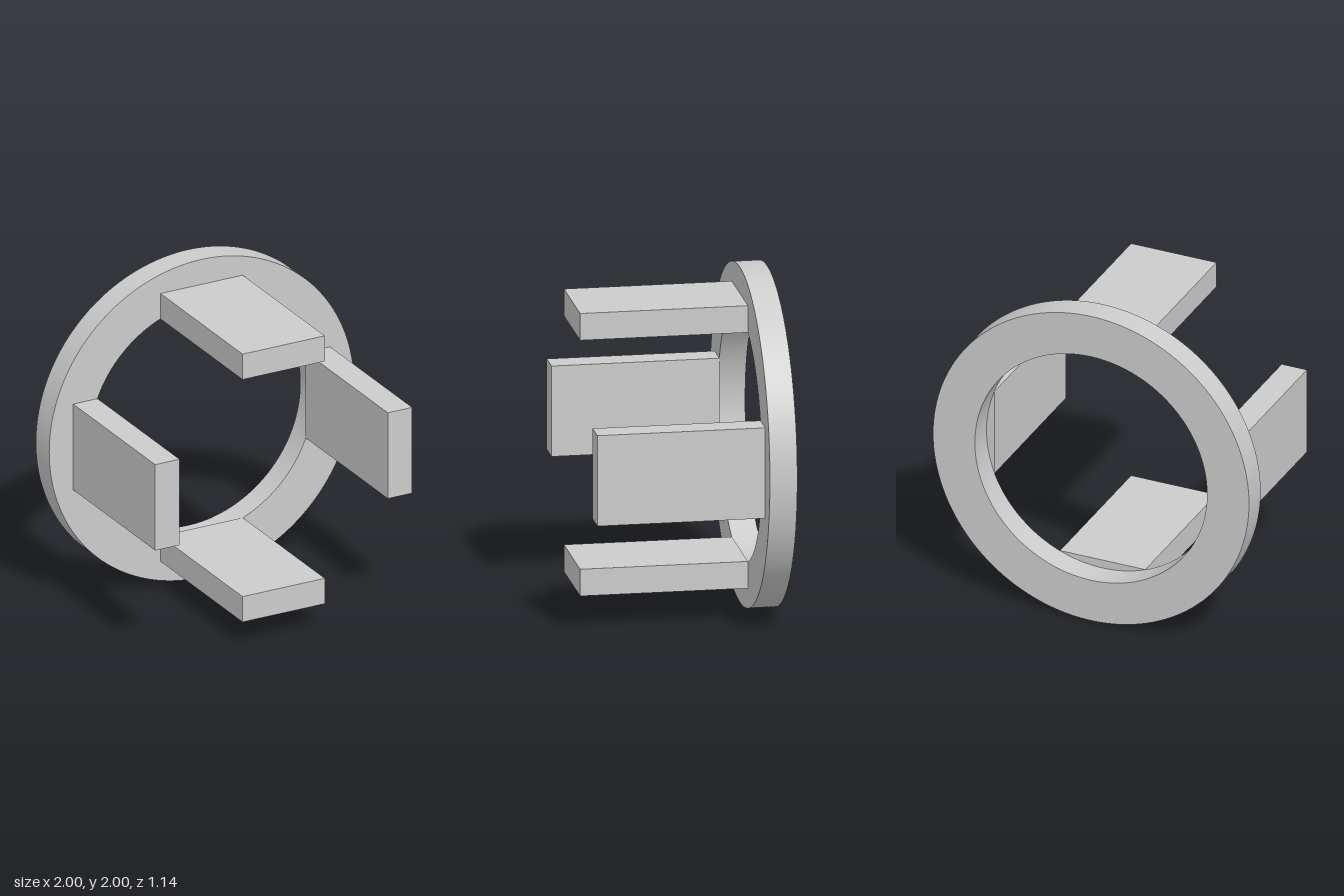
import * as THREE from 'three';

const OUTER = 1, INNER = 0.735;
const BACK = -0.57, RING_FRONT = -0.41, FRONT = 0.57;

export function createModel() {
  const model = new THREE.Group();
  model.name = 'ringWithProngs';
  const material = new THREE.MeshStandardMaterial({ color: 0xcccccc });

  // Flat ring standing upright at the back
  const outline = new THREE.Shape().absarc(0, 0, OUTER, 0, Math.PI * 2, false);
  outline.holes.push(new THREE.Path().absarc(0, 0, INNER, 0, Math.PI * 2, true));
  const ring = new THREE.Mesh(
    new THREE.ExtrudeGeometry(outline, {
      depth: RING_FRONT - BACK, bevelEnabled: false, curveSegments: 96,
    }),
    material,
  );
  ring.name = 'ring';
  ring.position.set(0, 1, BACK);
  model.add(ring);

  // Four flat prongs reaching forward from the ring face
  const length = FRONT - RING_FRONT;
  const prongGeometry = new THREE.BoxGeometry(0.54, 0.16, length);
  prongGeometry.translate(0, 0.763, RING_FRONT + length / 2);
  ['topProng', 'leftProng', 'bottomProng', 'rightProng'].forEach((name, i) => {
    const prong = new THREE.Mesh(prongGeometry, material);
    prong.name = name;
    prong.position.y = 1;
    prong.rotation.z = -i * Math.PI / 2;
    model.add(prong);
  });

  // Smooth normals around the ring's curved walls
  const pos = ring.geometry.attributes.position, nor = ring.geometry.attributes.normal;
  for (let i = 0; i < pos.count; i++) {
    if (Math.abs(nor.getZ(i)) > 0.5) continue;
    const x = pos.getX(i), y = pos.getY(i), r = Math.hypot(x, y);
    const s = r > (OUTER + INNER) / 2 ? 1 : -1;
    nor.setXYZ(i, s * x / r, s * y / r, 0);
  }
  return model;
}
